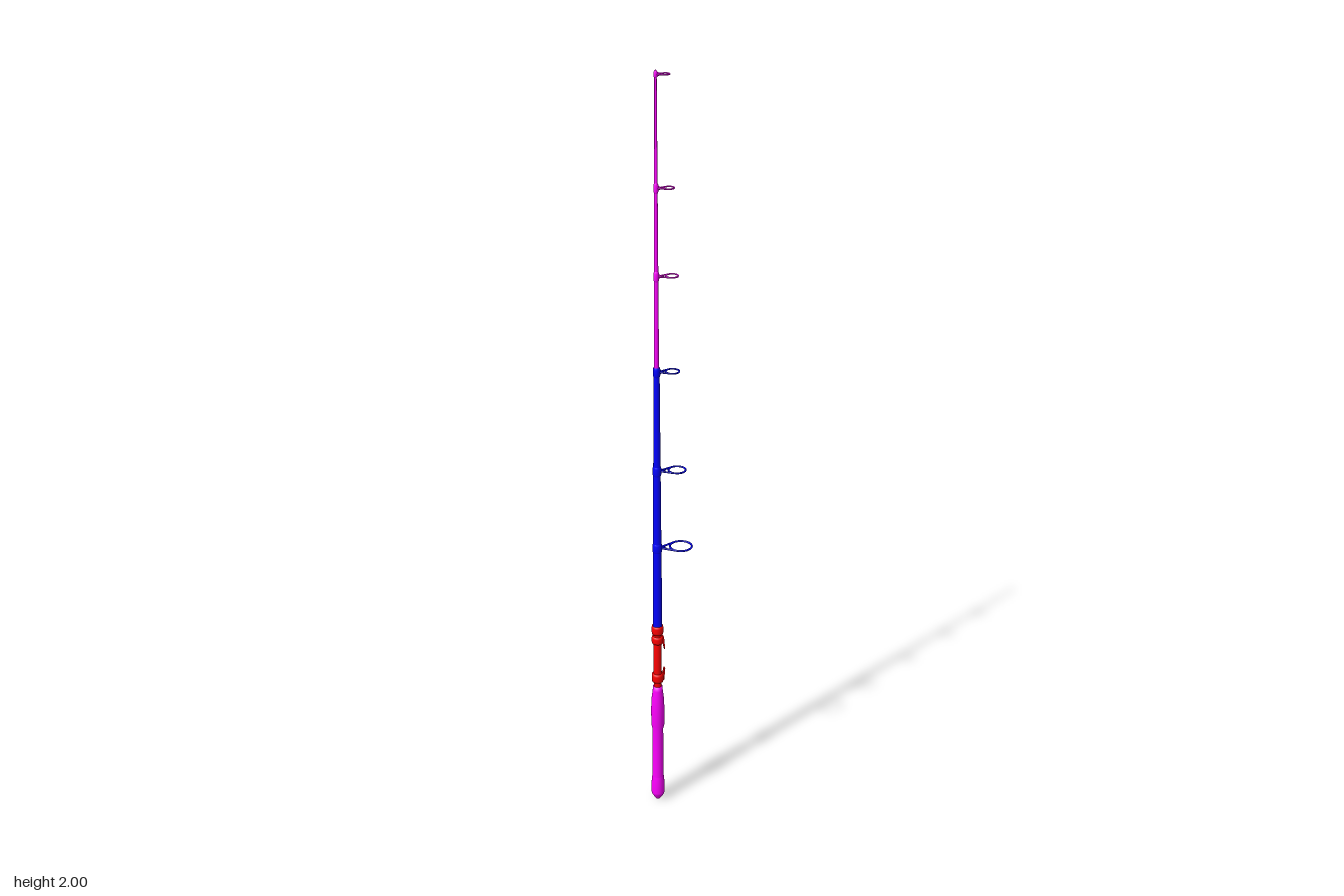
import * as THREE from 'three';

const MAGENTA = 0xff00ff, BLUE = 0x0000ff, RED = 0xff0000;
const AXIS_X = -0.0375; // the rod stands beside the centre, the guides reach to +x

const paint = (color) => new THREE.MeshStandardMaterial({ color, side: THREE.DoubleSide });
const materials = { [MAGENTA]: paint(MAGENTA), [BLUE]: paint(BLUE), [RED]: paint(RED) };

function add(parent, name, geometry, color) {
  const mesh = new THREE.Mesh(geometry, materials[color]);
  mesh.name = name;
  parent.add(mesh);
  return mesh;
}

// Turned part from [radius, y] pairs
function turned(parent, name, profile, color) {
  const points = profile.map(([r, y]) => new THREE.Vector2(r, y));
  return add(parent, name, new THREE.LatheGeometry(points, 24), color);
}

// Radius of the tapering blank at a height
function blankRadius(y) {
  return y < 1.265
    ? THREE.MathUtils.mapLinear(y, 0.53, 1.265, 0.0125, 0.0075)
    : THREE.MathUtils.mapLinear(y, 1.265, 2, 0.0062, 0.0028);
}

// Line guide: thread wrap, ring lying flat, and two legs tangent to the ring
function lineGuide(parent, { y, x, r, wire, color }) {
  const guide = new THREE.Group();
  guide.name = 'lineGuide';
  parent.add(guide);
  const b = blankRadius(y), cx = x - AXIS_X;

  const ring = add(guide, 'guideRing', new THREE.TorusGeometry(r - wire, wire, 8, 32), color);
  ring.rotation.x = Math.PI / 2;
  ring.position.set(cx, y, 0);

  const h = Math.min(0.013, y < 1.9 ? 0.013 : 0.008);
  turned(guide, 'guideWrap', [
    [b, y - h], [b + 0.0018, y - h * 0.6], [b + 0.0018, y + h * 0.6], [b, y + h],
  ], color);

  const a = Math.acos(Math.min(0.9, (r - wire) / cx));
  for (const side of [-1, 1]) {
    const leg = new THREE.LineCurve3(
      new THREE.Vector3(b * 0.7, y, side * 0.002),
      new THREE.Vector3(cx - (r - wire) * Math.cos(a), y, side * (r - wire) * Math.sin(a)));
    add(guide, 'guideLeg', new THREE.TubeGeometry(leg, 1, wire, 8), color);
  }

  // Foot flaring from the blank towards the ring
  const foot = add(guide, 'guideFoot', new THREE.ConeGeometry(0.007, 0.016, 12), color);
  foot.rotation.z = -Math.PI / 2;
  foot.position.set(b + 0.006, y, 0);
  foot.scale.z = 0.6;
}

// Curved hood that clamps the reel foot; dir tells which way it opens
function reelHood(parent, y, dir) {
  const shape = new THREE.Shape();
  shape.moveTo(0.008, 0);
  shape.lineTo(0.0165, 0);
  shape.lineTo(0.0195, dir * 0.035);
  shape.lineTo(0.0165, dir * 0.035);
  shape.lineTo(0.0125, dir * 0.012);
  shape.lineTo(0.008, dir * 0.012);
  const geometry = new THREE.ExtrudeGeometry(shape, { depth: 0.012, bevelEnabled: false });
  geometry.translate(0, y, -0.006);
  add(parent, 'reelHood', geometry, RED);
}

export function createModel() {
  const model = new THREE.Group();
  model.name = 'fishingRod';
  const rod = new THREE.Group();
  rod.name = 'rod';
  rod.position.x = AXIS_X;
  model.add(rod);

  // Grip with rounded butt and swollen foregrip
  turned(rod, 'buttCap', [
    [0, 0], [0.006, 0.001], [0.011, 0.008], [0.0165, 0.018],
    [0.018, 0.024], [0.0175, 0.055], [0.0155, 0.075],
  ], MAGENTA);
  turned(rod, 'grip', [
    [0.0155, 0.07], [0.0145, 0.15], [0.0145, 0.225], [0.0175, 0.238], [0.018, 0.285],
    [0.0165, 0.32], [0.0135, 0.345], [0.0125, 0.358], [0, 0.36],
  ], MAGENTA);

  // Reel seat with its collars
  turned(rod, 'reelSeat', [[0, 0.355], [0.0105, 0.355], [0.0105, 0.54], [0, 0.545]], RED);
  for (const [y, h, r] of [[0.385, 0.024, 0.0155], [0.5, 0.02, 0.0155], [0.53, 0.024, 0.0155]]) {
    turned(rod, 'seatCollar', [
      [0.0105, y - h / 2], [r - 0.001, y - h / 2], [r, y - h / 4],
      [r, y + h / 4], [r - 0.001, y + h / 2], [0.0105, y + h / 2],
    ], RED);
  }
  reelHood(rod, 0.377, 1);
  reelHood(rod, 0.507, -1);

  // Two-piece tapering blank
  turned(rod, 'lowerBlank', [
    [0.0125, 0.54], [blankRadius(0.9), 0.9], [0.0075, 1.265], [0, 1.267],
  ], BLUE);
  turned(rod, 'upperBlank', [
    [0.0062, 1.26], [blankRadius(1.63), 1.63], [0.0028, 1.998], [0, 2],
  ], MAGENTA);

  // Guides shrink towards the tip
  const guides = [
    { y: 0.77, x: 0.024, r: 0.031, wire: 0.0026, color: BLUE },
    { y: 0.987, x: 0.014, r: 0.024, wire: 0.0024, color: BLUE },
    { y: 1.255, x: 0.002, r: 0.019, wire: 0.0022, color: BLUE },
    { y: 1.502, x: 0.001, r: 0.017, wire: 0.002, color: MAGENTA },
    { y: 1.72, x: -0.006, r: 0.014, wire: 0.0019, color: MAGENTA },
    { y: 1.989, x: -0.0145, r: 0.0115, wire: 0.0018, color: MAGENTA },
  ];
  for (const guide of guides) lineGuide(rod, guide);

  return model;
}
